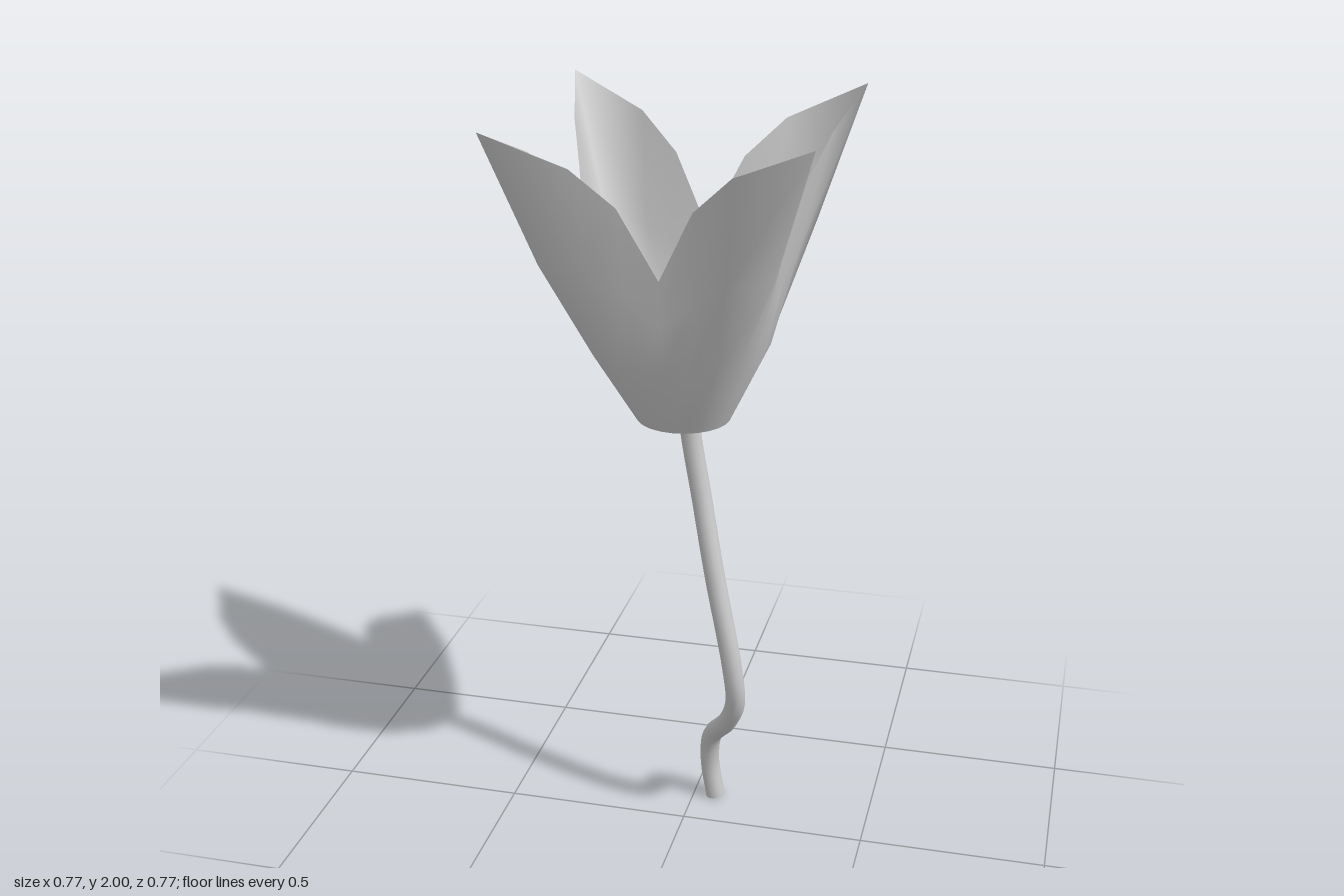
import * as THREE from 'three';

const material = new THREE.MeshStandardMaterial({ color: 0xcccccc, side: THREE.DoubleSide });

// Half of one flower side, from its middle (valley) to the petal fold.
// Each row runs upwards: [along the side, outwards, height]
const ROWS = [
  [[0, 0.12, 1.21], [0.031, 0.116, 1.21], [0.06, 0.104, 1.21], [0.085, 0.085, 1.21]],
  [[0, 0.21, 1.4], [0.065, 0.21, 1.4], [0.125, 0.2, 1.4], [0.172, 0.172, 1.4]],
  [[0, 0.235, 1.52], [0.08, 0.245, 1.59], [0.165, 0.265, 1.64], [0.283, 0.283, 1.67]],
  [[0, 0.25, 1.64], [0.09, 0.29, 1.82], [0.19, 0.33, 1.915], [0.385, 0.385, 2]],
];

// Closed loops of 24 points each, joined into a smooth skin
function makePetals() {
  const pos = [], index = [], n = 24;
  for (const row of ROWS) {
    for (let side = 0; side < 4; side++) {
      const c = Math.round(Math.cos(side * Math.PI / 2));
      const s = Math.round(Math.sin(side * Math.PI / 2));
      for (let k = -3; k < 3; k++) {
        const [along, out, y] = row[Math.abs(k)];
        const t = Math.sign(k) * along;
        pos.push(t * c + out * s, y, out * c - t * s);
      }
    }
  }
  for (let r = 0; r < ROWS.length - 1; r++) {
    for (let j = 0; j < n; j++) {
      const a = r * n + j, b = r * n + (j + 1) % n;
      index.push(a, b, b + n, a, b + n, a + n);
    }
  }
  const g = new THREE.BufferGeometry();
  g.setAttribute('position', new THREE.Float32BufferAttribute(pos, 3));
  g.setIndex(index);
  g.computeVertexNormals();
  return g;
}

export function createModel() {
  const model = new THREE.Group();
  const add = (name, geometry) => {
    const mesh = new THREE.Mesh(geometry, material);
    mesh.name = name;
    model.add(mesh);
    return mesh;
  };

  // Four joined petals
  add('petals', makePetals());

  // Shallow bowl closing the cup just above its open base
  const bowl = [[0, 1.262], [0.06, 1.262], [0.1, 1.268], [0.135, 1.29], [0.165, 1.33]];
  add('cupFloor', new THREE.LatheGeometry(bowl.map(([x, y]) => new THREE.Vector2(x, y)), 24));

  // Winding stem
  const radius = 0.027;
  const path = new THREE.CatmullRomCurve3([
    [0.062, 0.008, -0.13], [0.046, 0.12, -0.127], [0.058, 0.22, -0.1], [0.115, 0.31, -0.035],
    [0.146, 0.4, 0.012], [0.14, 0.52, 0.033], [0.088, 0.78, 0.02], [0.045, 1, -0.004],
    [0.02, 1.14, -0.008], [0.006, 1.268, 0.002],
  ].map((p) => new THREE.Vector3(...p)));
  add('stem', new THREE.TubeGeometry(path, 60, radius, 12));

  // Flat ends of the stem
  for (const [name, u, dir] of [['stemFoot', 0, -1], ['stemTop', 1, 1]]) {
    const cap = add(name, new THREE.CircleGeometry(radius, 12));
    cap.position.copy(path.getPointAt(u));
    cap.quaternion.setFromUnitVectors(
      new THREE.Vector3(0, 0, 1), path.getTangentAt(u).multiplyScalar(dir));
  }
  return model;
}
